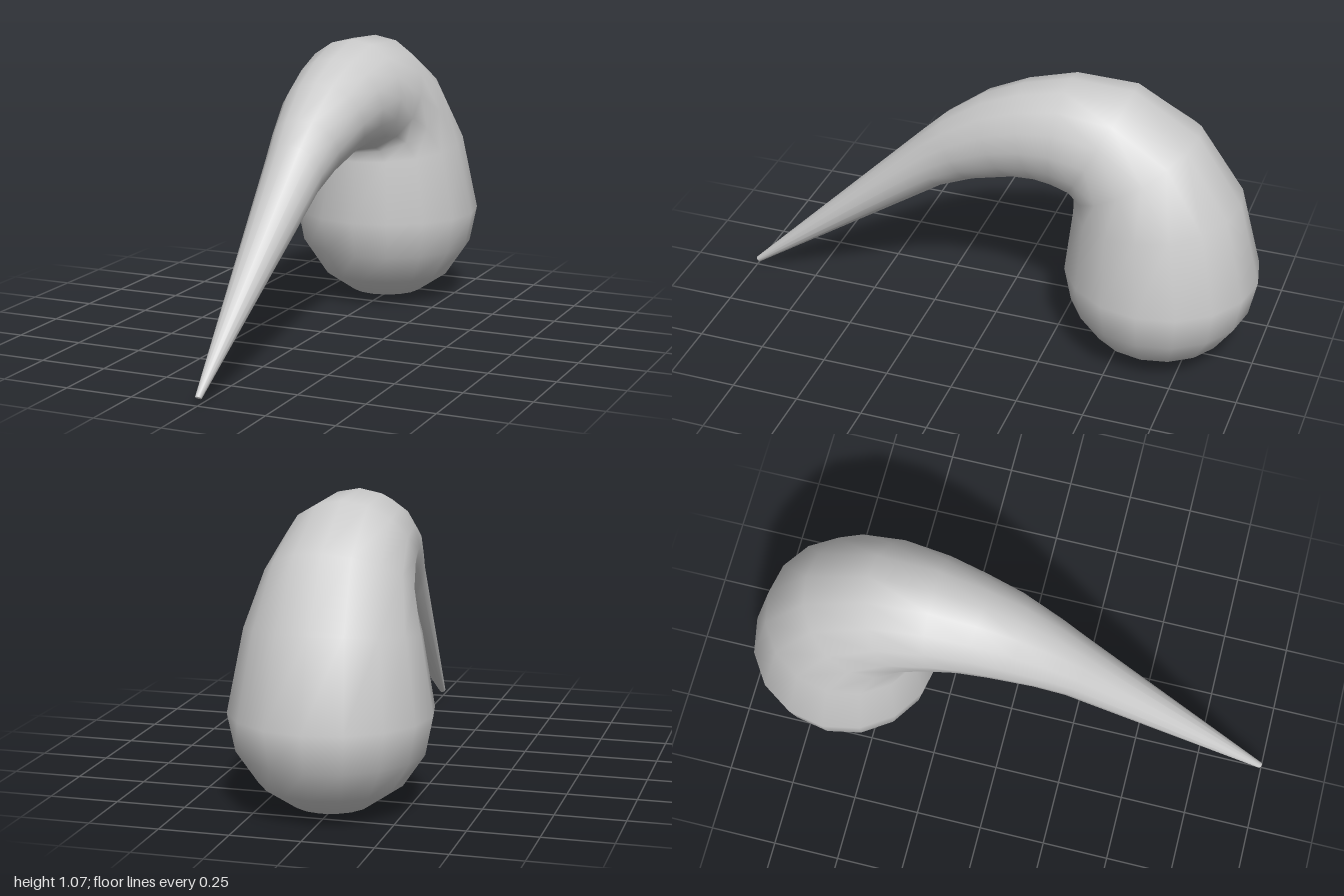
import * as THREE from 'three';

// Each ring: outer z, outer y, inner z, inner y. The ring is a circle across these two points.
const rings = [
  // rounded bulb
  [-0.777, 0.03, -0.503, 0.03],
  [-0.892, 0.108, -0.388, 0.108],
  [-0.97, 0.223, -0.31, 0.223],
  [-0.998, 0.36, -0.283, 0.36],
  // neck bending forward
  [-0.918, 0.672, -0.31, 0.595],
  [-0.75, 0.92, -0.312, 0.63],
  [-0.51, 1.06, -0.295, 0.642],
  [-0.28, 1.07, -0.25, 0.652],
  [-0.1, 1.02, -0.19, 0.66],
  [0.05, 0.95, -0.09, 0.652],
  [0.2, 0.838, 0.07, 0.607],
  [0.28, 0.76, 0.2, 0.55],
  // long straight taper to the tip
  [1.0, 0.037, 0.982, 0.022],
];
const SIDES = 16;

function hornGeometry() {
  const pos = [0, 0.003, -0.64]; // pole at the bottom of the bulb
  for (const [oz, oy, iz, iy] of rings) {
    const cz = (oz + iz) / 2, cy = (oy + iy) / 2;
    const nz = (oz - iz) / 2, ny = (oy - iy) / 2;
    const r = Math.hypot(nz, ny);
    for (let j = 0; j < SIDES; j++) {
      const a = (j / SIDES) * Math.PI * 2;
      pos.push(r * Math.sin(a), cy + ny * Math.cos(a), cz + nz * Math.cos(a));
    }
  }
  const tip = pos.length / 3;
  pos.push(0, 0.0295, 0.991); // centre of the tip cap

  const id = (i, j) => 1 + i * SIDES + (j % SIDES);
  const last = rings.length - 1;
  const index = [];
  for (let j = 0; j < SIDES; j++) {
    index.push(0, id(0, j), id(0, j + 1));
    for (let i = 0; i < last; i++) {
      index.push(id(i, j), id(i + 1, j), id(i, j + 1));
      index.push(id(i, j + 1), id(i + 1, j), id(i + 1, j + 1));
    }
    index.push(tip, id(last, j + 1), id(last, j));
  }
  const geo = new THREE.BufferGeometry();
  geo.setAttribute('position', new THREE.Float32BufferAttribute(pos, 3));
  geo.setIndex(index);
  geo.computeVertexNormals();
  return geo;
}

export function createModel() {
  const group = new THREE.Group();
  group.name = 'curvedHorn';
  const horn = new THREE.Mesh(hornGeometry(), new THREE.MeshStandardMaterial({ color: 0xcccccc }));
  horn.name = 'hornBody';
  group.add(horn);
  return group;
}
